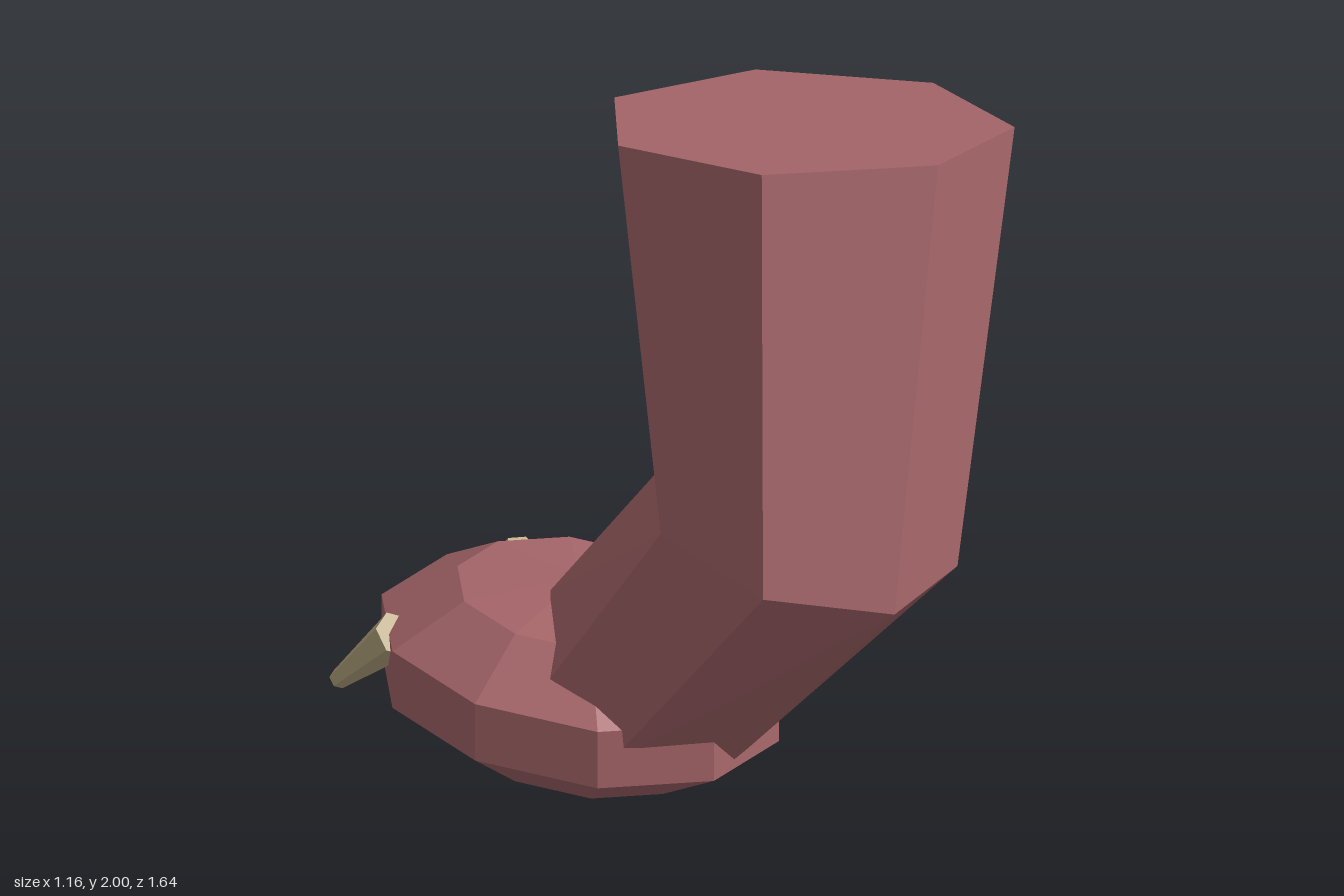
import * as THREE from 'three';

const skin = new THREE.MeshStandardMaterial({ color: 0xa9686c, flatShading: true });
const horn = new THREE.MeshStandardMaterial({ color: 0xbaa983, flatShading: true });

// Skins a closed tube through rings (top to bottom, clockwise from above) and caps both ends
function loft(rings) {
  const n = rings[0].length, last = (rings.length - 1) * n, index = [];
  for (let r = 0; r < rings.length - 1; r++) {
    for (let i = 0; i < n; i++) {
      const a = r * n + i, b = r * n + (i + 1) % n;
      index.push(a, b, b + n, a, b + n, a + n);
    }
  }
  for (let i = 1; i < n - 1; i++) {
    index.push(0, i + 1, i);
    index.push(last, last + i, last + i + 1);
  }
  const geo = new THREE.BufferGeometry();
  geo.setAttribute('position', new THREE.Float32BufferAttribute(rings.flat(2), 3));
  geo.setIndex(index);
  const flat = geo.toNonIndexed();
  flat.computeVertexNormals();
  return flat;
}

function add(group, name, geometry, material) {
  const mesh = new THREE.Mesh(geometry, material);
  mesh.name = name;
  group.add(mesh);
  return mesh;
}

export function createModel() {
  const model = new THREE.Group();
  model.name = 'clawedLeg';

  // Seven-sided leg: tilted top, bent joint, ankle sunk in the foot
  const top = [[-0.05, 1.825, -0.21], [0.38, 1.75, -0.11], [0.58, 1.765, 0.29], [0.4, 1.86, 0.69],
    [-0.02, 1.97, 0.785], [-0.37, 2, 0.51], [-0.385, 1.935, 0.07]];
  const joint = [[-0.21, 0.955, 0.07], [0.115, 0.895, 0.14], [0.25, 0.81, 0.445], [0.1, 0.775, 0.75],
    [-0.235, 0.81, 0.82], [-0.49, 0.89, 0.61], [-0.48, 0.955, 0.28]];
  const ankle = [[-0.25, 0.51, -0.25], [0.025, 0.485, -0.21], [0.16, 0.325, 0], [0.06, 0.17, 0.19],
    [-0.21, 0.13, 0.23], [-0.45, 0.225, 0.09], [-0.46, 0.385, -0.1]];
  add(model, 'leg', loft([top, joint, ankle]), skin);

  // Foot: squashed low-poly ball
  const foot = add(model, 'foot', new THREE.SphereGeometry(1, 10, 5), skin);
  foot.scale.set(0.436, 0.257, 0.578);
  foot.position.set(-0.165, 0.262, -0.225);

  // Claws: blunt tapered cones pointing forward and down
  const claws = new THREE.Group();
  claws.name = 'claws';
  model.add(claws);
  const up = new THREE.Vector3(0, 1, 0);
  for (const side of [-1, 0, 1]) {
    const base = new THREE.Vector3(-0.167 + side * 0.25, 0.335, -0.6);
    const tip = new THREE.Vector3(-0.167 + side * 0.228, 0.127, -0.803);
    const dir = tip.clone().sub(base);
    const claw = add(claws, 'claw', new THREE.CylinderGeometry(0.025, 0.06, dir.length(), 6), horn);
    claw.position.copy(base).lerp(tip, 0.5);
    claw.quaternion.setFromUnitVectors(up, dir.normalize());
  }
  return model;
}
